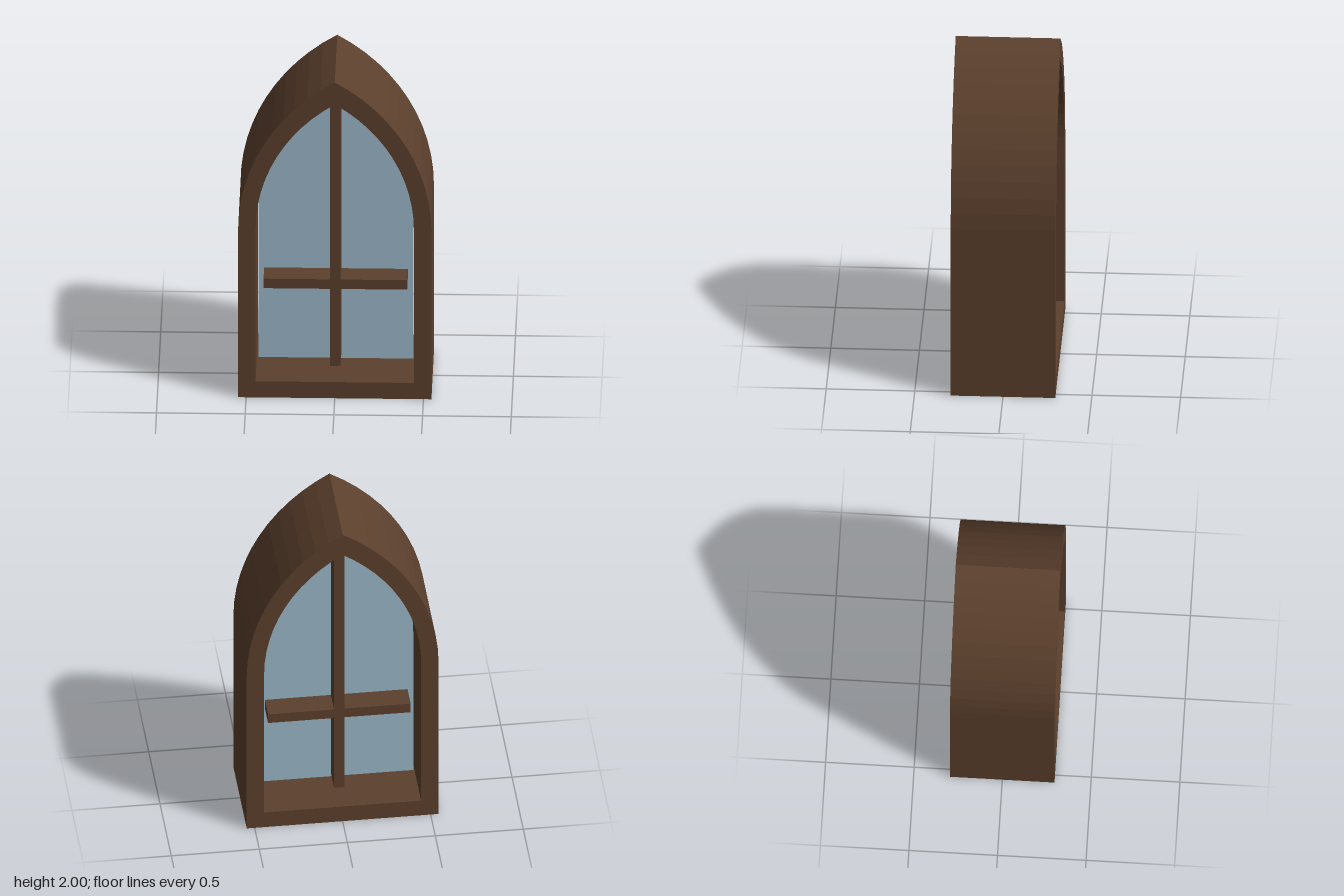
import * as THREE from 'three';

const wood = new THREE.MeshStandardMaterial({ color: 0x5c402d });
wood.name = 'darkWood';
const glass = new THREE.MeshStandardMaterial({ color: 0x9dbccc });
glass.name = 'paleBlueGlass';

// Pointed arch: straight jambs, then two circular arcs meeting at the apex
function archPoints(halfWidth, bottom, spring, apex, segments = 12) {
  const rise = apex - spring;
  const radius = (halfWidth * halfWidth + rise * rise) / (2 * halfWidth);
  const centre = halfWidth - radius;
  const end = Math.asin(rise / radius);
  const right = [new THREE.Vector2(halfWidth, bottom)];
  for (let i = 0; i < segments; i++) {
    const a = (end * i) / segments;
    right.push(new THREE.Vector2(centre + radius * Math.cos(a), spring + radius * Math.sin(a)));
  }
  const left = right.map((p) => new THREE.Vector2(-p.x, p.y)).reverse();
  return [...right, new THREE.Vector2(0, apex), ...left];
}

// Extrusion centred on z = 0
function slab(name, shape, depth, material) {
  const geometry = new THREE.ExtrudeGeometry(shape, { depth, bevelEnabled: false });
  geometry.translate(0, 0, -depth / 2);
  const mesh = new THREE.Mesh(geometry, material);
  mesh.name = name;
  return mesh;
}

function bar(name, w, h, d, y) {
  const mesh = new THREE.Mesh(new THREE.BoxGeometry(w, h, d), wood);
  mesh.name = name;
  mesh.position.y = y;
  return mesh;
}

export function createModel() {
  const group = new THREE.Group();
  group.name = 'archedWindow';

  // Deep frame with an arched opening
  const frame = new THREE.Shape(archPoints(0.545, 0, 1.06, 2));
  frame.holes.push(new THREE.Path(archPoints(0.446, 0.102, 1.07, 1.86)));
  group.add(slab('frame', frame, 0.59, wood));

  // Thin pane halfway through, just clear of the frame
  const pane = new THREE.Shape(archPoints(0.438, 0.11, 1.07, 1.848));
  group.add(slab('pane', pane, 0.02, glass));

  // Crossing glazing bars, standing out on both sides of the pane
  group.add(bar('mullion', 0.06, 1.71, 0.3, 0.985));
  group.add(bar('transom', 0.81, 0.06, 0.3, 0.648));

  return group;
}
